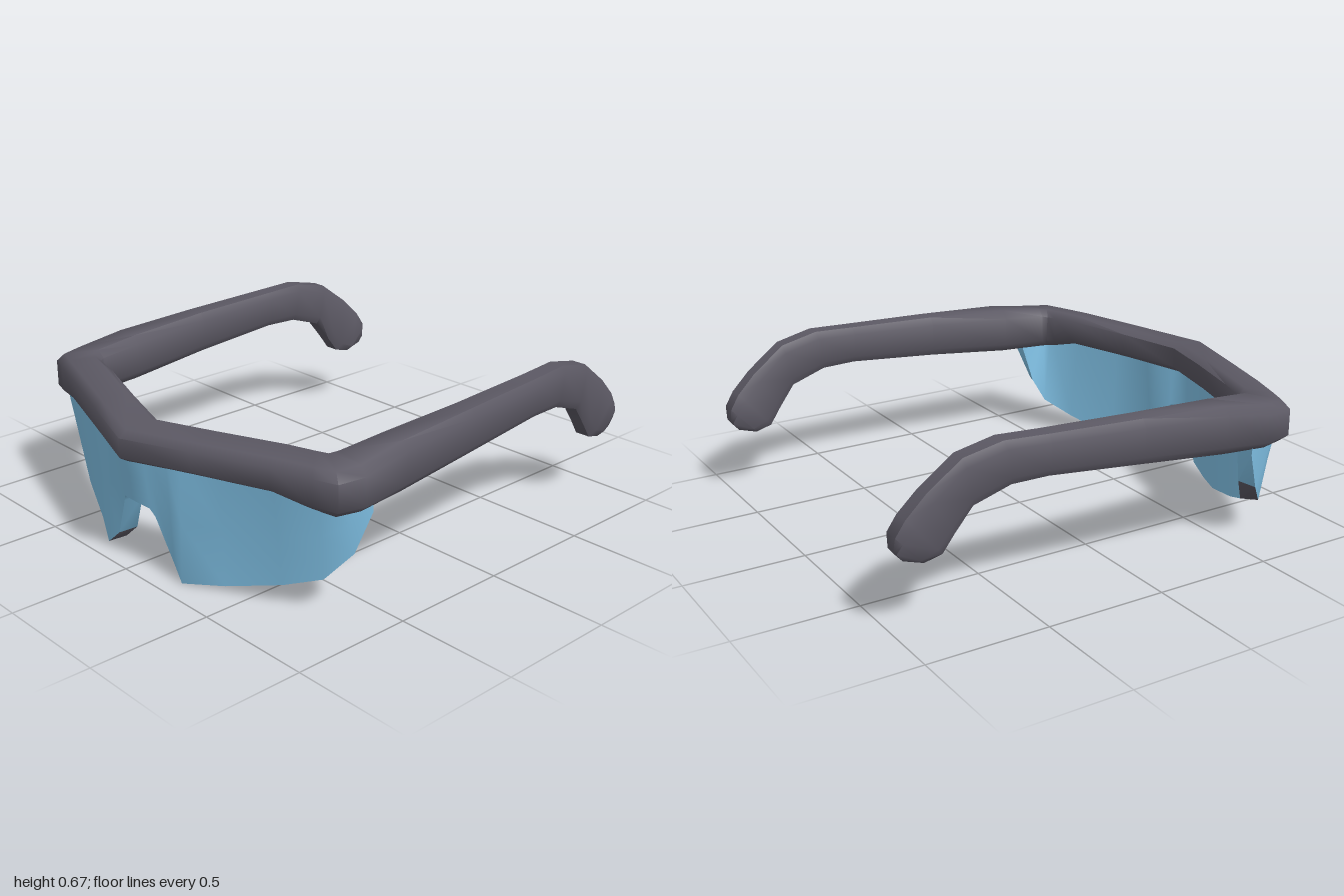
import * as THREE from 'three';
import { toCreasedNormals } from 'three/addons/utils/BufferGeometryUtils.js';

const V = (x, y, z) => new THREE.Vector3(x, y, z);
const CREASE = 0.95;

// Full left-right list of rings from the rings of the left half (first ring at x = 0).
function mirrorRings(half) {
  const flipped = half.slice(1).reverse().map(r => r.map(p => V(-p.x, p.y, p.z)));
  return [...flipped, ...half];
}

// Closed loft through rings; quads chosen by isRim(strip, |x|) get the second material.
function loft(rings, isRim = () => false) {
  const n = rings[0].length;
  const main = [], rim = [];
  for (let i = 0; i < rings.length - 1; i++) {
    for (let j = 0; j < n; j++) {
      const k = (j + 1) % n;
      const a = i * n + j, b = i * n + k, c = a + n, d = b + n;
      const x = Math.abs(rings[i][0].x + rings[i + 1][0].x) / 2;
      (isRim(j, x) ? rim : main).push(a, c, b, b, c, d);
    }
  }
  const end = (rings.length - 1) * n;
  for (let j = 1; j < n - 1; j++) {
    main.push(0, j, j + 1, end, end + j + 1, end + j);
  }
  const geo = new THREE.BufferGeometry();
  geo.setAttribute('position', new THREE.Float32BufferAttribute(
    rings.flat().flatMap(p => [p.x, p.y, p.z]), 3));
  geo.setIndex([...main, ...rim]);
  geo.addGroup(0, main.length, 0);
  if (rim.length) geo.addGroup(main.length, rim.length, 1);
  return toCreasedNormals(geo, CREASE);
}

// Four corners to an eight-point ring with cut corners.
function chamfer(corners, cut = 0.18) {
  return corners.flatMap((p, i) => {
    const prev = corners[(i + 3) % 4], next = corners[(i + 1) % 4];
    return [p.clone().lerp(prev, cut), p.clone().lerp(next, cut)];
  });
}

// Brow bar: outer x, z, inner x, z, top y, bottom y
const BROW = [
  [0, 0.998, 0, 0.815, 0.59, 0.445],
  [0.3, 0.9, 0.27, 0.735, 0.6, 0.455],
  [0.62, 0.795, 0.56, 0.64, 0.61, 0.46],
  [0.78, 0.74, 0.66, 0.61, 0.61, 0.43],
  [0.875, 0.705, 0.7, 0.595, 0.61, 0.42],
  [0.9, 0.59, 0.712, 0.575, 0.615, 0.418],
];

// Temple arm and ear hook: outer x, inner x, top z, y, bottom z, y
const ARM = [
  [0.89, 0.73, 0.38, 0.628, 0.38, 0.432],
  [0.873, 0.752, 0, 0.647, 0, 0.468],
  [0.855, 0.748, -0.4, 0.662, -0.4, 0.503],
  [0.845, 0.742, -0.58, 0.67, -0.55, 0.5],
  [0.835, 0.737, -0.74, 0.635, -0.7, 0.45],
  [0.828, 0.73, -0.88, 0.53, -0.77, 0.36],
  [0.825, 0.723, -0.96, 0.45, -0.82, 0.29],
  [0.82, 0.718, -0.998, 0.39, -0.89, 0.272],
  [0.8, 0.735, -1, 0.335, -0.965, 0.292],
];

function frameGeometry() {
  const brow = BROW.map(([xo, zo, xi, zi, yt, yb]) => chamfer([
    V(xo, yt - 0.02, zo), V(xi, yt, zi), V(xi, yb + 0.01, zi), V(xo, yb, zo)]));
  const arm = ARM.map(([xo, xi, zt, yt, zb, yb]) => chamfer([
    V(xo, yt, zt), V(xi, yt, zt), V(xi, yb, zb), V(xo, yb, zb)]));
  return loft(mirrorRings([...brow, ...arm]));
}

// Lens columns: top x, z, bottom x, z, y
const LENS = [
  [0, 0.97, 0, 0.95, 0.28],
  [0.08, 0.95, 0.08, 0.93, 0.265],
  [0.11, 0.94, 0.1, 0.92, 0.235],
  [0.18, 0.92, 0.18, 0.9, 0.06],
  [0.24, 0.9, 0.24, 0.912, 0.003],
  [0.4, 0.85, 0.4, 0.83, 0.025],
  [0.62, 0.78, 0.62, 0.74, 0.085],
  [0.79, 0.72, 0.765, 0.67, 0.14],
  [0.855, 0.66, 0.835, 0.585, 0.24],
  [0.872, 0.53, 0.868, 0.525, 0.4],
];
const LENS_TOP = 0.5, LENS_THICK = 0.075;

function lensGeometry() {
  const half = LENS.map(([xt, zt, xb, zb, yb], i) => {
    // inward direction, square to the lens path in plan
    const next = LENS[Math.min(i + 1, LENS.length - 1)];
    const prev = LENS[Math.max(i - 1, 0)];
    const inward = i === 0 ? V(0, 0, -1)
      : V(next[1] - prev[1], 0, prev[0] - next[0]).normalize();
    inward.multiplyScalar(LENS_THICK);
    const top = V(xt, LENS_TOP, zt), bottom = V(xb, yb, zb);
    const innerTop = top.clone().add(inward);
    const innerBottom = bottom.clone().add(inward);
    innerBottom.y += 0.01;
    return [top, innerTop, innerBottom, bottom, top.clone().lerp(bottom, 0.5)];
  });
  // dark underside below each eye; nose notch and outer ends stay blue
  return loft(mirrorRings(half), (strip, x) => strip === 2 && x > 0.2 && x < 0.84);
}

export function createModel() {
  const frameMat = new THREE.MeshStandardMaterial({ color: 0x5c5964 });
  frameMat.name = 'charcoal frame';
  const lensMat = new THREE.MeshStandardMaterial({ color: 0x82c4e9 });
  lensMat.name = 'blue lens';

  const model = new THREE.Group();
  model.name = 'safetyGlasses';

  const frame = new THREE.Mesh(frameGeometry(), frameMat);
  frame.name = 'frame';
  const lens = new THREE.Mesh(lensGeometry(), [lensMat, frameMat]);
  lens.name = 'lens';

  model.add(frame, lens);
  return model;
}
